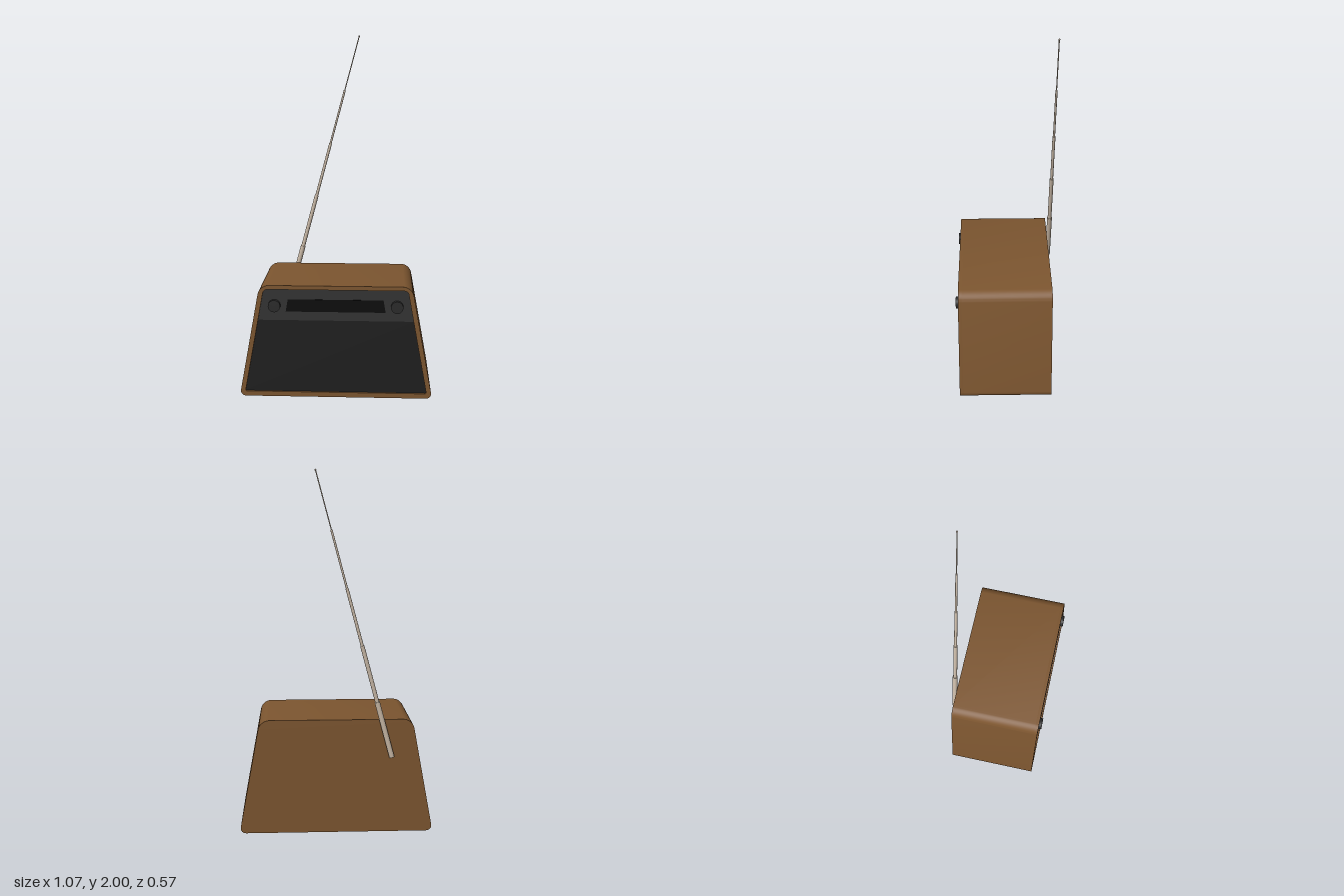
import * as THREE from 'three';
import { toCreasedNormals } from 'three/addons/utils/BufferGeometryUtils.js';

const mat = (color) => new THREE.MeshStandardMaterial({ color });

// Half width of the tapering cabinet at height y
const halfWidth = (y) => 0.541 - 0.184 * y;

// Symmetric trapezoid with rounded bottom (rb) and top (rt) corners
function trapezoid(y0, y1, inset, rb, rt, Type = THREE.Shape) {
  const a = halfWidth(y0) - inset, b = halfWidth(y1) - inset;
  const corners = [[-a, y0, rb], [a, y0, rb], [b, y1, rt], [-b, y1, rt]];
  const path = new Type();
  corners.forEach(([x, y, cut], i) => {
    const p = new THREE.Vector2(x, y);
    const towards = (j, d) => {
      const q = new THREE.Vector2(corners[j % 4][0], corners[j % 4][1]);
      return p.clone().add(q.sub(p).setLength(d));
    };
    const s = towards(i + 3, cut), e = towards(i + 1, cut);
    const c1 = s.clone().lerp(p, 0.55), c2 = e.clone().lerp(p, 0.55);
    if (i === 0) path.moveTo(s.x, s.y);
    else path.lineTo(s.x, s.y);
    if (cut > 0) path.bezierCurveTo(c1.x, c1.y, c2.x, c2.y, e.x, e.y);
  });
  path.closePath();
  return path;
}

function slab(name, shape, z0, z1, material) {
  const geo = new THREE.ExtrudeGeometry(shape, { depth: z1 - z0, bevelEnabled: false, curveSegments: 10 });
  geo.translate(0, 0, z0);
  const mesh = new THREE.Mesh(toCreasedNormals(geo, 0.6), material);
  mesh.name = name;
  return mesh;
}

export function createModel() {
  const model = new THREE.Group();
  model.name = 'tableRadio';
  const wood = mat(0x7d5630), grille = mat(0x1f1f1f), panel = mat(0x333333);
  const black = mat(0x0b0b0b), knobMat = mat(0x2b2b2b), metal = mat(0xc8b8a6);

  // Wooden cabinet with a thin rim around the recessed front
  const outline = () => trapezoid(0, 0.645, 0, 0.036, 0.052);
  model.add(slab('cabinet', outline(), -0.255, 0.25, wood));
  const rim = outline();
  rim.holes.push(trapezoid(0.028, 0.622, 0.027, 0.008, 0.02, THREE.Path));
  model.add(slab('frontRim', rim, 0.25, 0.27, wood));

  // Speaker grille below, control panel above
  model.add(slab('speakerGrille', trapezoid(0.028, 0.445, 0.027, 0.006, 0), 0.25, 0.26, grille));
  model.add(slab('controlPanel', trapezoid(0.445, 0.622, 0.027, 0, 0.02), 0.25, 0.262, panel));

  // Display window
  const display = new THREE.Shape([[-0.277, 0.495], [0.277, 0.495], [0.265, 0.565], [-0.265, 0.565]]
    .map(([x, y]) => new THREE.Vector2(x, y)));
  model.add(slab('display', display, 0.255, 0.264, black));

  // Knobs
  for (const side of [-1, 1]) {
    const knob = new THREE.Mesh(new THREE.CylinderGeometry(0.034, 0.034, 0.025, 32), knobMat);
    knob.name = side > 0 ? 'leftKnob' : 'rightKnob';
    knob.rotation.x = Math.PI / 2;
    knob.position.set(side * 0.34, 0.53, 0.2725);
    model.add(knob);
  }

  // Telescopic antenna on the back, leaning towards the left
  const antenna = new THREE.Group();
  antenna.name = 'antenna';
  const base = new THREE.Vector3(-0.306, 0.435, -0.272), tip = new THREE.Vector3(0.112, 1.996, -0.272);
  const length = base.distanceTo(tip);
  const radii = [0.0145, 0.0115, 0.0085, 0.006, 0.003];
  radii.forEach((r, i) => {
    const h = length / radii.length;
    const tube = new THREE.Mesh(new THREE.CylinderGeometry(r, r, h, 20), metal);
    tube.name = 'antennaSection' + (i + 1);
    tube.position.y = (i + 0.5) * h;
    antenna.add(tube);
  });
  const ball = new THREE.Mesh(new THREE.SphereGeometry(0.005, 14, 10), metal);
  ball.name = 'antennaTip';
  ball.position.y = length;
  antenna.add(ball);
  antenna.position.copy(base);
  antenna.quaternion.setFromUnitVectors(new THREE.Vector3(0, 1, 0), tip.clone().sub(base).normalize());
  model.add(antenna);

  return model;
}
